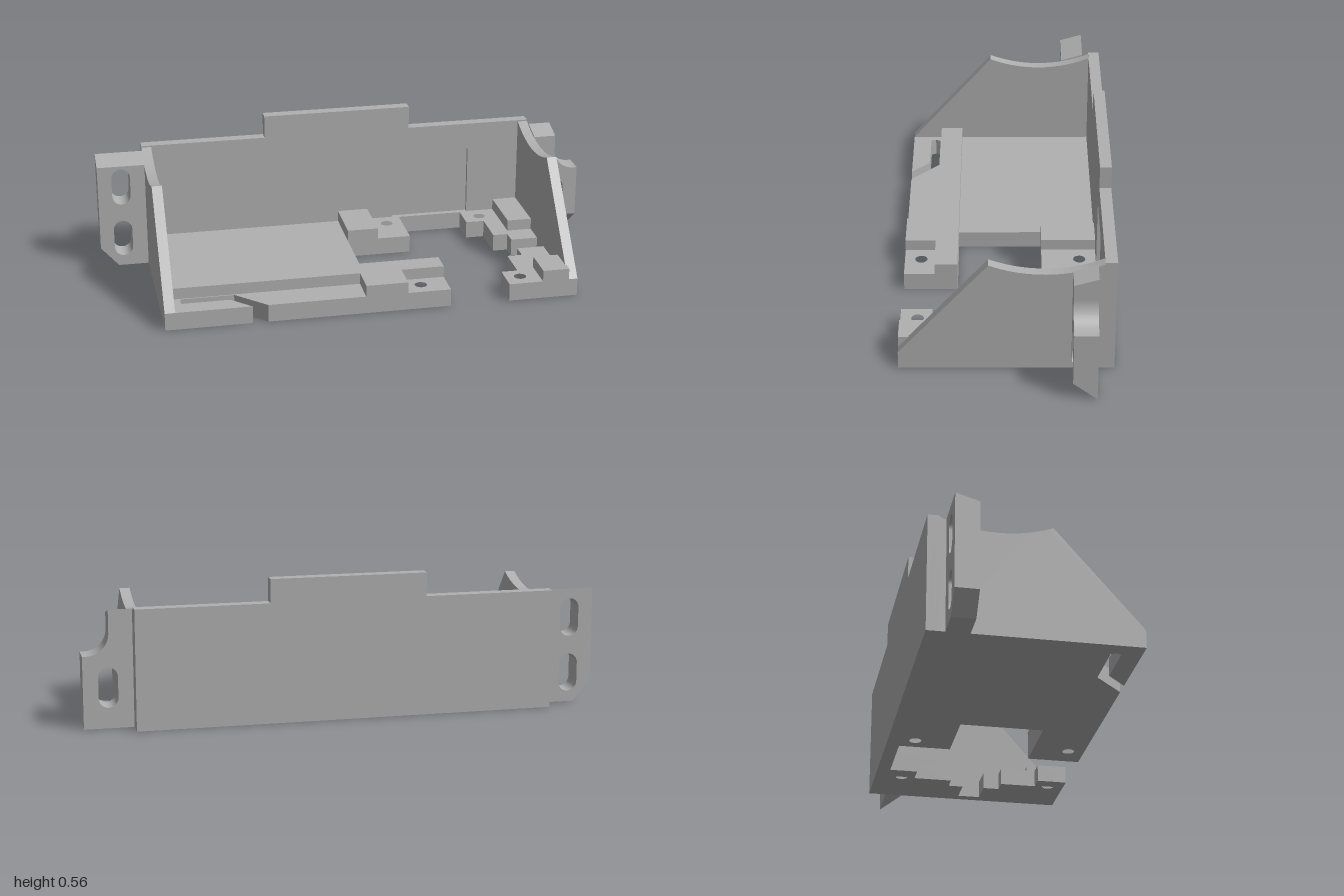
import * as THREE from 'three';

const FLOOR = 0.07, RAISED = 0.115, BACK = -0.355;

export function createModel() {
  const group = new THREE.Group();
  const grey = new THREE.MeshStandardMaterial({ color: 0xb0b0b0 });

  const add = (name, geometry) => {
    const mesh = new THREE.Mesh(geometry, grey);
    mesh.name = name;
    group.add(mesh);
  };
  const polygon = (pts) => new THREE.Shape(pts.map(([x, y]) => new THREE.Vector2(x, y)));
  const extrude = (shape, depth) =>
    new THREE.ExtrudeGeometry(shape, { depth, bevelEnabled: false, curveSegments: 16 });
  const box = (name, x0, x1, y0, y1, z0, z1) =>
    add(name, new THREE.BoxGeometry(x1 - x0, y1 - y0, z1 - z0)
      .translate((x0 + x1) / 2, (y0 + y1) / 2, (z0 + z1) / 2));

  // Floor plates, outlined in x and z, with round screw holes
  const plate = (name, pts, holes) => {
    const shape = polygon(pts.map(([x, z]) => [x, -z]));
    for (const [x, z] of holes) {
      shape.holes.push(new THREE.Path().absarc(x, -z, 0.024, 0, Math.PI * 2, true));
    }
    add(name, extrude(shape, FLOOR).rotateX(-Math.PI / 2));
  };
  plate('mainFloor', [
    [-0.77, BACK], [0.26, BACK], [0.26, -0.14], [0, -0.14], [0, 0.19], [0.3, 0.19], [0.3, 0.4],
    [-0.415, 0.4], [-0.53, 0.285], [-0.735, 0.285], [-0.745, 0.305], [-0.735, 0.325],
    [-0.55, 0.325], [-0.475, 0.4], [-0.77, 0.4],
  ], [[0.195, -0.29], [0.195, 0.335]]);
  plate('backCornerFloor', [
    [0.525, BACK], [0.77, BACK], [0.77, -0.02], [0.66, -0.02], [0.66, -0.08], [0.6, -0.08],
    [0.6, -0.235], [0.525, -0.235],
  ], [[0.595, -0.29]]);
  plate('frontCornerFloor', [
    [0.66, 0.07], [0.77, 0.07], [0.77, 0.4], [0.535, 0.4], [0.535, 0.28], [0.6, 0.28],
    [0.6, 0.135], [0.66, 0.135],
  ], [[0.595, 0.335]]);
  box('floorLip', 0.26, 0.525, 0, FLOOR, BACK, -0.347);

  // Raised steps on the floor
  box('frontRidge', -0.77, 0.3, FLOOR, RAISED, 0.19, 0.28);
  box('frontStep', -0.035, 0.13, FLOOR, RAISED, 0.28, 0.4);
  box('backStep', 0, 0.125, FLOOR, RAISED, BACK, -0.14);
  box('backCornerStep', 0.67, 0.77, FLOOR, RAISED, BACK, -0.115);
  box('frontCornerStep', 0.67, 0.775, FLOOR, RAISED, 0.26, 0.4);

  // Back wall with a raised tab and a shallow recess inside
  const wallOutline = () => polygon([
    [-0.81, 0], [0.81, 0], [0.81, 0.465], [0.3, 0.465], [0.3, 0.557],
    [-0.305, 0.557], [-0.305, 0.465], [-0.81, 0.465],
  ]);
  add('backWall', extrude(wallOutline(), 0.03).translate(0, 0, -0.4));
  const lining = wallOutline();
  lining.holes.push(new THREE.Path([[0.23, FLOOR], [0.23, 0.355], [0.555, 0.355], [0.555, FLOOR]]
    .map(([x, y]) => new THREE.Vector2(x, y))));
  add('backWallLining', extrude(lining, 0.015).translate(0, 0, -0.37));

  // Side walls: sloped front, shallow hollow along the top
  const hollow = (z) => 0.96 - Math.sqrt(0.545 ** 2 - (z + 0.14) ** 2);
  const sideOutline = [[BACK, 0], [0.4, 0], [0.4, 0.07]];
  for (let i = 0; i <= 20; i++) {
    const z = 0.065 - (i / 20) * (0.065 - BACK);
    sideOutline.push([z, hollow(z)]);
  }
  for (const [name, outerX] of [['leftWall', 0.81], ['rightWall', -0.77]]) {
    add(name, extrude(polygon(sideOutline), 0.04).rotateY(-Math.PI / 2).translate(outerX, 0, 0));
  }

  // Mounting ears with upright slots and tops that follow the hollow
  const slot = (x, y0, y1) => {
    const r = 0.037;
    const path = new THREE.Path();
    path.absarc(x, y1 - r, r, 0, Math.PI, false);
    path.absarc(x, y0 + r, r, Math.PI, Math.PI * 2, false);
    path.closePath();
    return path;
  };
  const ear = (name, shape, slots, chamferFront) => {
    shape.holes.push(...slots);
    const geometry = extrude(shape, 0.09).translate(0, 0, -0.33);
    const p = geometry.attributes.position;
    for (let i = 0; i < p.count; i++) {
      const front = p.getZ(i) > -0.28;
      if (p.getY(i) > 0.44) p.setY(i, front ? 0.428 : 0.455);
      if (chamferFront && front && p.getY(i) < 0.01) p.setY(i, 0.07);
    }
    geometry.computeVertexNormals();
    add(name, geometry);
  };
  const leftEar = new THREE.Shape();
  leftEar.moveTo(0.81, 0).lineTo(1, 0).lineTo(1, 0.28);
  leftEar.absarc(0.985, 0.365, 0.085, -Math.PI / 2, -Math.PI, true);
  leftEar.lineTo(0.9, 0.45).lineTo(0.81, 0.45);
  ear('leftEar', leftEar, [slot(0.905, 0.08, 0.235)], true);
  ear('rightEar', polygon([[-0.93, 0], [-0.81, 0], [-0.81, 0.45], [-1, 0.45], [-1, 0.08]]),
    [slot(-0.907, 0.265, 0.415), slot(-0.907, 0.043, 0.193)], false);

  return group;
}
